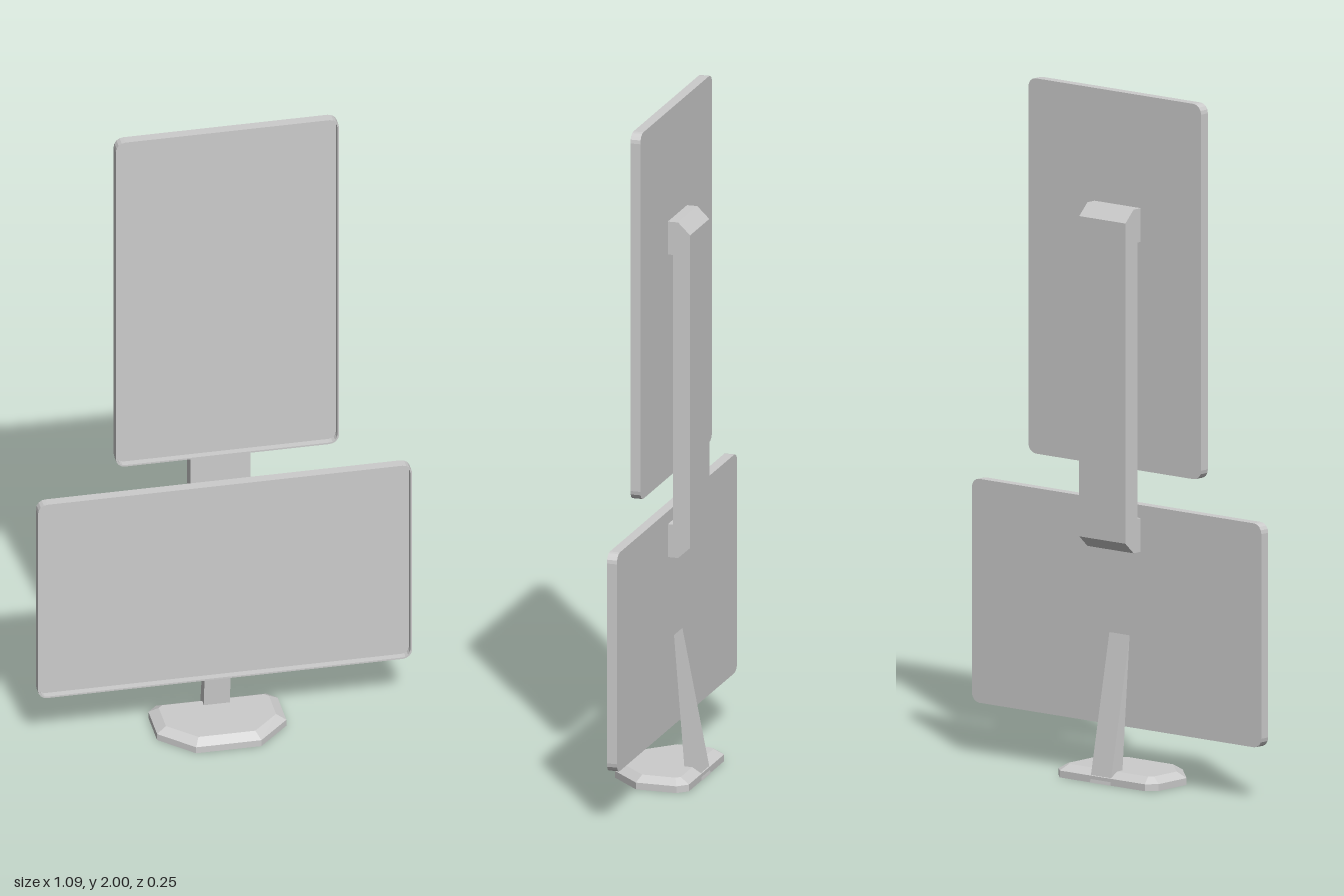
import * as THREE from 'three';

const grey = new THREE.MeshStandardMaterial({ color: 0xcccccc, side: THREE.DoubleSide });
grey.name = 'plain grey';

// Flat-faced skin over rings of [x, y, z] points, closed by a fan at both ends
function loft(name, rings) {
  const pos = [];
  const tri = (...pts) => pts.forEach((p) => pos.push(...p));
  const n = rings[0].length;
  for (let r = 0; r < rings.length - 1; r++) {
    const a = rings[r], b = rings[r + 1];
    for (let i = 0; i < n; i++) {
      const j = (i + 1) % n;
      tri(a[i], a[j], b[j]);
      tri(a[i], b[j], b[i]);
    }
  }
  const first = rings[0], last = rings[rings.length - 1];
  for (let i = 1; i < n - 1; i++) {
    tri(first[0], first[i + 1], first[i]);
    tri(last[0], last[i], last[i + 1]);
  }
  const geo = new THREE.BufferGeometry();
  geo.setAttribute('position', new THREE.Float32BufferAttribute(pos, 3));
  geo.computeVertexNormals();
  const mesh = new THREE.Mesh(geo, grey);
  mesh.name = name;
  return mesh;
}

// Side profile of [z, y] points extruded across x
function sideProfile(name, pts, xMin, xMax) {
  const shape = new THREE.Shape(pts.map(([z, y]) => new THREE.Vector2(z, y)));
  const geo = new THREE.ExtrudeGeometry(shape, { depth: xMax - xMin, bevelEnabled: false });
  geo.rotateY(-Math.PI / 2);
  const mesh = new THREE.Mesh(geo, grey);
  mesh.name = name;
  mesh.position.x = xMax;
  return mesh;
}

// Rounded panel with a narrow rim around a recessed display
function screen(name, w, h, cx, cy) {
  const radius = 0.028, rim = 0.005, steps = 4;
  const corners = [[1, 1], [-1, 1], [-1, -1], [1, -1]];
  const ring = (inset, z) => corners.flatMap(([sx, sy], c) =>
    Array.from({ length: steps + 1 }, (_, i) => {
      const a = (c + i / steps) * Math.PI / 2;
      return [
        cx + sx * (w / 2 - radius) + (radius - inset) * Math.cos(a),
        cy + sy * (h / 2 - radius) + (radius - inset) * Math.sin(a),
        z,
      ];
    }));
  return loft(name, [ring(0, -0.039), ring(0, -0.009), ring(rim, -0.009), ring(rim, -0.029)]);
}

export function createModel() {
  const group = new THREE.Group();
  group.name = 'stackedMonitors';

  // Screens: one wide, one upright
  group.add(screen('lowerScreen', 1.091, 0.651, 0, 0.4835));
  group.add(screen('upperScreen', 0.651, 1.091, 0.007, 1.4545));

  // Rear bracket joining both screens
  group.add(sideProfile('rearBracket', [
    [-0.039, 0.673], [-0.039, 0.771], [-0.054, 0.771], [-0.054, 1.574],
    [-0.039, 1.574], [-0.039, 1.672], [-0.07, 1.672], [-0.106, 1.637],
    [-0.106, 0.706], [-0.07, 0.673],
  ], -0.091, 0.083));

  // Tapered leg leaning onto the lower screen
  group.add(sideProfile('standLeg', [
    [-0.039, 0.425], [-0.124, 0], [-0.073, 0],
  ], -0.049, 0.027));

  // Eight-sided foot with a bevelled top
  const outer = [[-0.111, 0.121], [0.079, 0.121], [0.171, 0.028], [0.171, -0.094],
    [0.143, -0.122], [-0.178, -0.122], [-0.206, -0.094], [-0.206, 0.028]];
  const inner = [[-0.099, 0.094], [0.067, 0.094], [0.143, 0.018], [0.143, -0.082],
    [0.131, -0.094], [-0.166, -0.094], [-0.178, -0.082], [-0.178, 0.018]];
  const at = (pts, y) => pts.map(([x, z]) => [x, y, z]);
  group.add(loft('foot', [at(outer, 0), at(outer, 0.02), at(inner, 0.037)]));

  return group;
}
